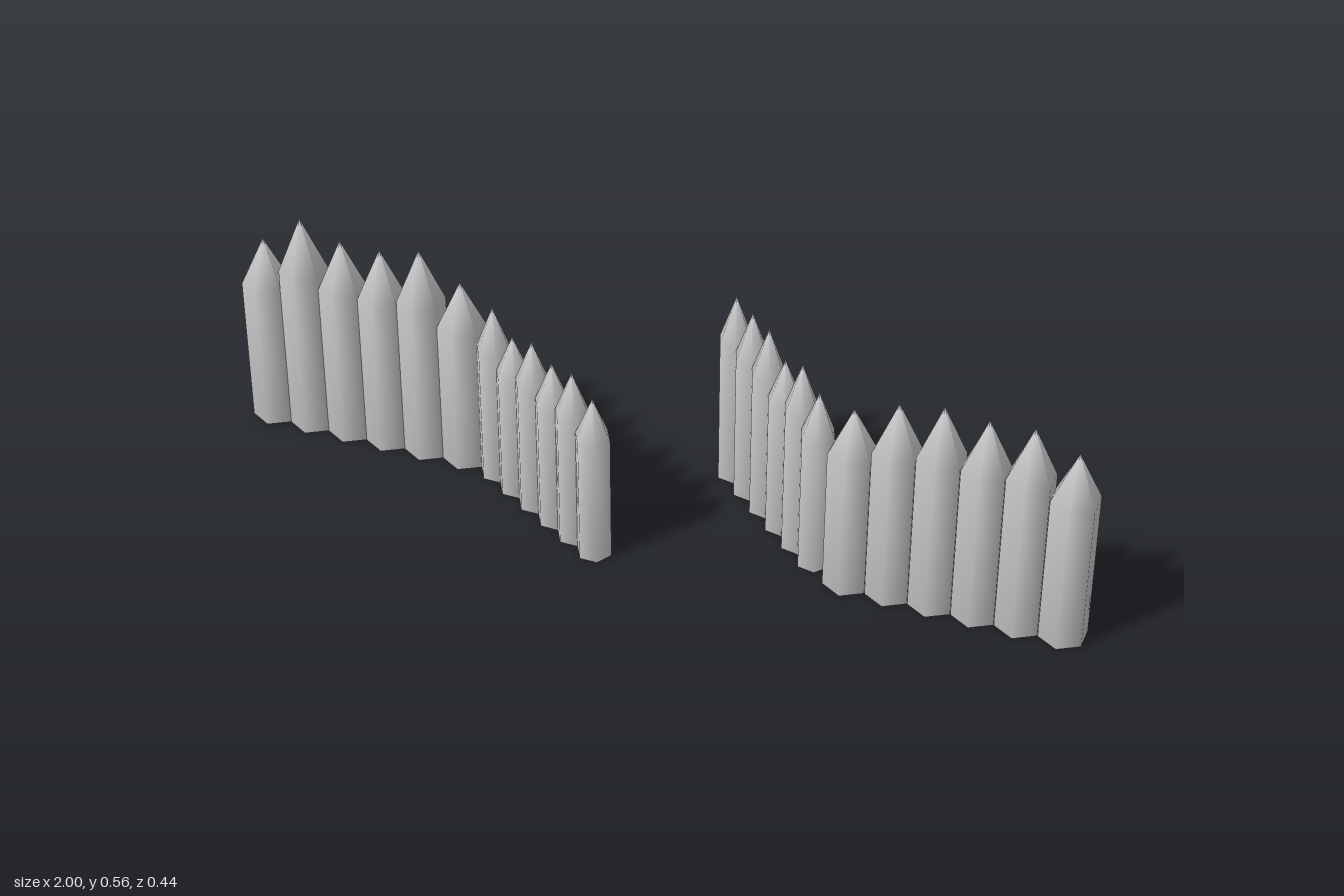
import * as THREE from 'three';

const material = new THREE.MeshStandardMaterial({ color: 0xcccccc });

// One six-sided stake with a pointed tip, flat sides facing its neighbours
function makeStake(name, radius, height) {
  const profile = [[0, 0], [radius, 0], [radius, height * 0.758], [0, height]]
    .map(([x, y]) => new THREE.Vector2(x, y));
  const stake = new THREE.Mesh(new THREE.LatheGeometry(profile, 6), material);
  stake.name = name;
  return stake;
}

// A straight run of touching stakes from start to end, given as [x, z]
function makeRow(name, radius, start, end, heights) {
  const row = new THREE.Group();
  row.name = name;
  const dx = end[0] - start[0], dz = end[1] - start[1];
  heights.forEach((height, i) => {
    const t = i / (heights.length - 1);
    const stake = makeStake(name + 'Stake' + (i + 1), radius, height);
    stake.position.set(start[0] + dx * t, 0, start[1] + dz * t);
    stake.rotation.y = -Math.atan2(dz, dx);
    row.add(stake);
  });
  return row;
}

export function createModel() {
  const palisade = new THREE.Group();
  palisade.name = 'palisade';
  const thick = 0.055, thin = 0.0405;

  palisade.add(
    // Right wall with its wing angled forward to the gap
    makeRow('rightWall', thick, [-0.953, -0.026], [-0.475, -0.026],
      [0.483, 0.558, 0.522, 0.52, 0.542, 0.481]),
    makeRow('rightWing', thin, [-0.386, 0.004], [-0.079, 0.188],
      [0.456, 0.418, 0.445, 0.429, 0.445, 0.418]),
    // Left wing angled backward to the gap, then the left wall
    makeRow('leftWing', thin, [0.113, -0.182], [0.381, 0.05],
      [0.488, 0.488, 0.49, 0.454, 0.488, 0.46]),
    makeRow('leftWall', thick, [0.47, 0.088], [0.953, 0.091],
      [0.467, 0.507, 0.525, 0.517, 0.523, 0.484]),
  );
  return palisade;
}
